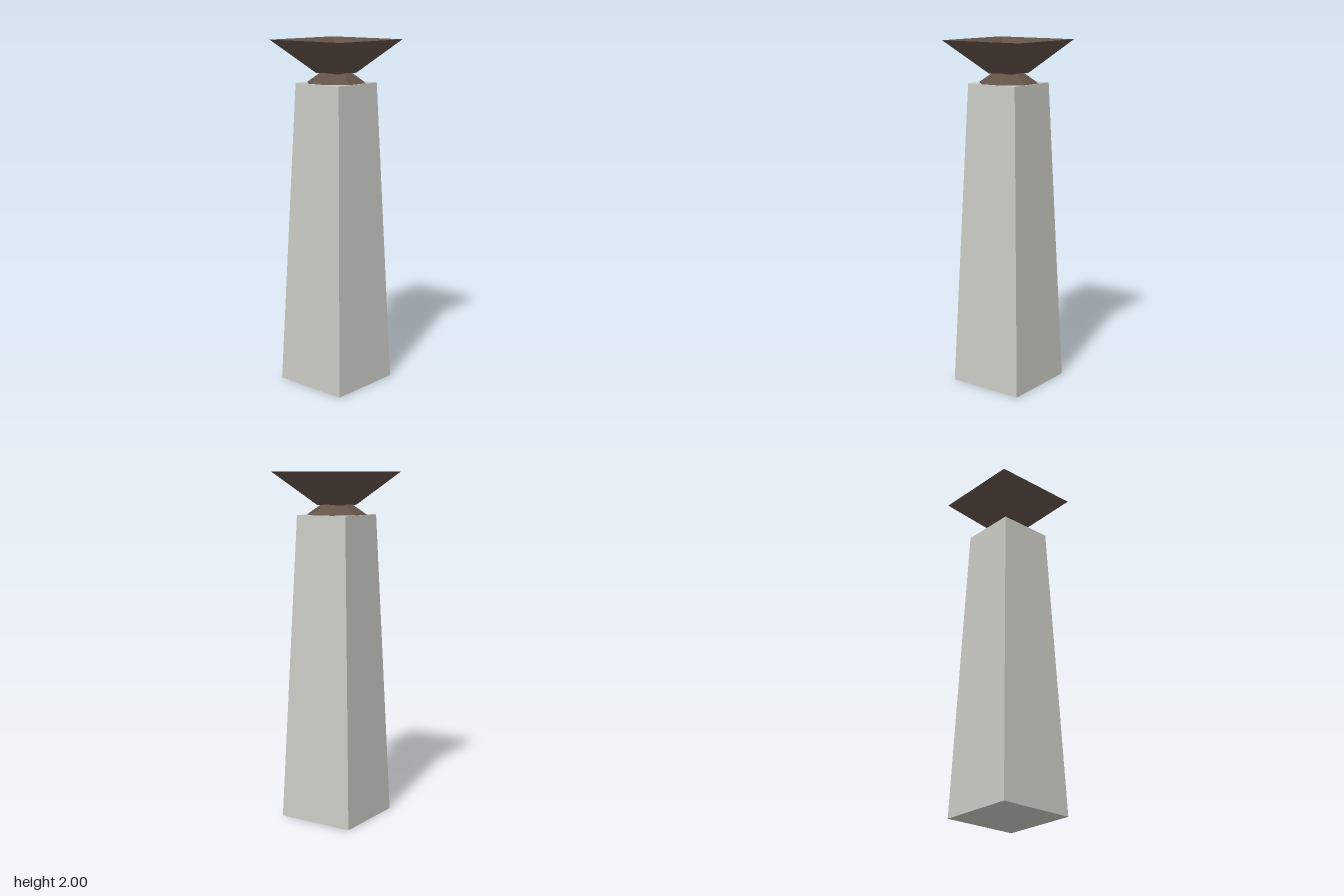
import * as THREE from 'three';

const stone = new THREE.MeshStandardMaterial({ color: 0xcbcbc5 });
stone.name = 'pale stone';
const bronze = new THREE.MeshStandardMaterial({ color: 0x635349 });
bronze.name = 'dark bronze';

// Faceted solid from a [half width, height] profile, with flat sides facing the axes
function facetedSolid(name, sides, profile, material) {
  const step = Math.PI / sides;
  const points = profile.map(([half, y]) => new THREE.Vector2(half / Math.cos(step), y));
  const geometry = new THREE.LatheGeometry(points, sides, step, Math.PI * 2).toNonIndexed();
  geometry.computeVertexNormals();
  const mesh = new THREE.Mesh(geometry, material);
  mesh.name = name;
  return mesh;
}

export function createModel() {
  const model = new THREE.Group();
  model.name = 'pedestalBrazier';

  // Tapered square pillar
  model.add(facetedSolid('pillar', 4, [[0, 0], [0.23, 0], [0.162, 1.76], [0, 1.76]], stone));

  // Eight-sided neck narrowing up to the bowl
  model.add(facetedSolid('neck', 8, [[0, 1.755], [0.16, 1.761], [0.08, 1.82], [0, 1.82]], bronze));

  // Flared square bowl with a shallow rim and a sunken centre
  model.add(facetedSolid('bowl', 4,
    [[0, 1.815], [0.08, 1.815], [0.263, 2], [0.227, 1.996], [0, 1.876]], bronze));

  return model;
}
